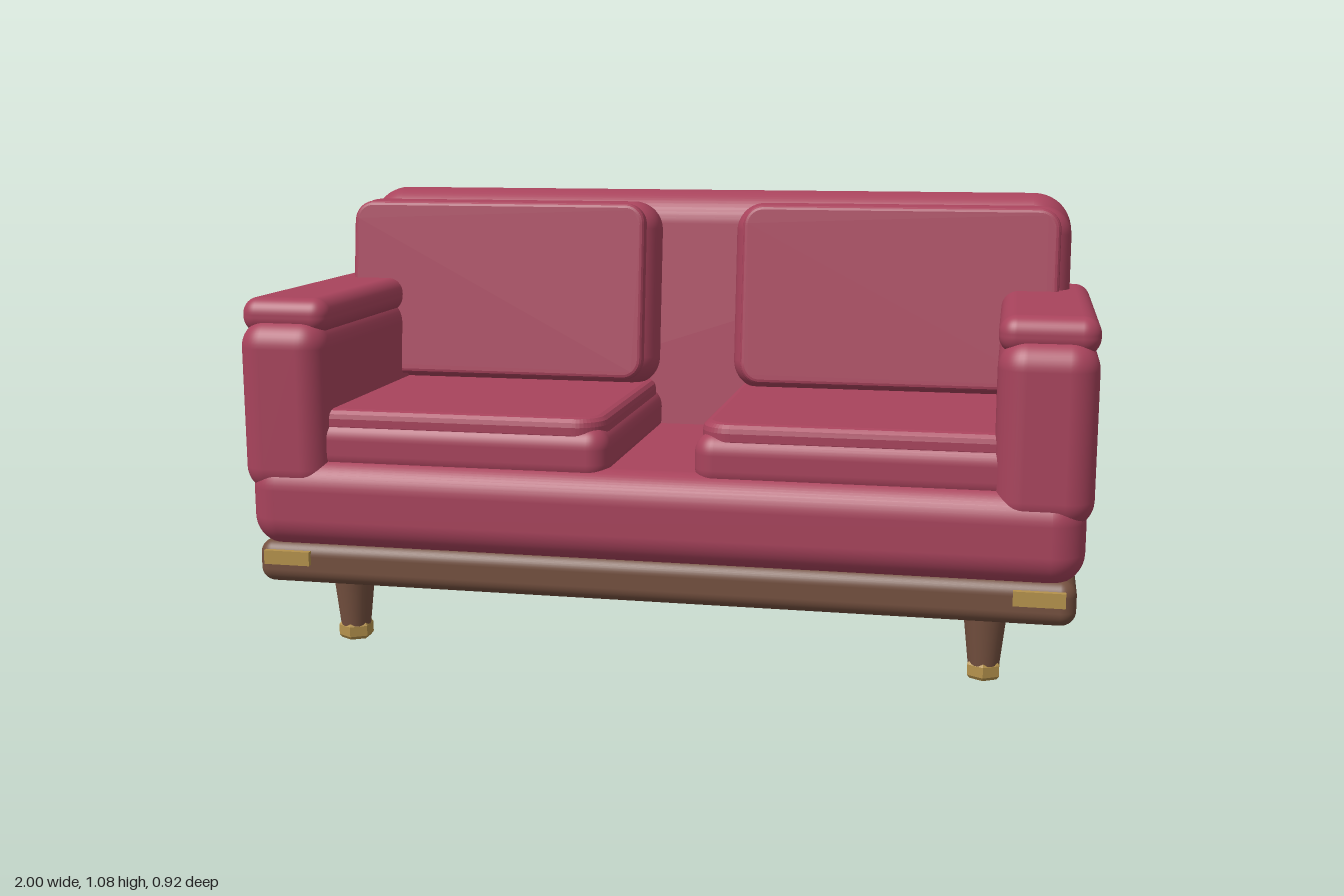
import * as THREE from 'three';
import { RoundedBoxGeometry } from 'three/addons/geometries/RoundedBoxGeometry.js';

const mat = (name, color) => {
  const m = new THREE.MeshStandardMaterial({ color });
  m.name = name;
  return m;
};

export function createModel() {
  const sofa = new THREE.Group();
  sofa.name = 'sofa';
  const fabric = mat('roseFabric', 0xa8435c);
  const wood = mat('walnutWood', 0x74503f);
  const brass = mat('brass', 0xb5924c);

  const add = (parent, name, geometry, material, x = 0, y = 0, z = 0) => {
    const mesh = new THREE.Mesh(geometry, material);
    mesh.name = name;
    mesh.position.set(x, y, z);
    parent.add(mesh);
    return mesh;
  };

  // Rounded box given by its extents along each axis
  const soft = (parent, name, material, [x0, x1], [y0, y1], [z0, z1], r) =>
    add(parent, name, new RoundedBoxGeometry(x1 - x0, y1 - y0, z1 - z0, 6, r), material,
      (x0 + x1) / 2, (y0 + y1) / 2, (z0 + z1) / 2);

  // Thin panel with rounded corners and a soft bevelled rim, rising along +z from 0
  const panel = (w, h, r, depth, bevel) => {
    const a = w / 2 - bevel, b = h / 2 - bevel;
    const s = new THREE.Shape();
    s.moveTo(-a + r, -b);
    s.lineTo(a - r, -b);
    s.absarc(a - r, -b + r, r, -Math.PI / 2, 0);
    s.lineTo(a, b - r);
    s.absarc(a - r, b - r, r, 0, Math.PI / 2);
    s.lineTo(-a + r, b);
    s.absarc(-a + r, b - r, r, Math.PI / 2, Math.PI);
    s.lineTo(-a, -b + r);
    s.absarc(-a + r, -b + r, r, Math.PI, Math.PI * 1.5);
    const g = new THREE.ExtrudeGeometry(s, {
      depth: depth - bevel, bevelEnabled: true, bevelThickness: bevel,
      bevelSize: bevel, bevelSegments: 3, curveSegments: 6,
    });
    return g;
  };

  // Frame and upholstered base
  soft(sofa, 'woodFrame', wood, [-0.97, 0.97], [0.16, 0.265], [-0.39, 0.44], 0.035);
  soft(sofa, 'seatBase', fabric, [-0.985, 0.985], [0.25, 0.47], [-0.41, 0.46], 0.075);

  // Reclined backrest, pivoting about the centre of its rounded top
  const back = new THREE.Group();
  back.name = 'backrest';
  back.position.set(0, 0.98, -0.355);
  back.rotation.x = -0.13;
  sofa.add(back);
  soft(back, 'backrestPad', fabric, [-0.948, 0.948], [-0.66, 0.1], [-0.1, 0.1], 0.097);

  for (const side of [1, -1]) {
    const label = side > 0 ? 'left' : 'right';
    const range = (a, b) => (side > 0 ? [a, b] : [-b, -a]);

    // Arm and its flat rest
    soft(sofa, label + 'Arm', fabric, range(0.78, 1), [0.38, 0.8], [-0.375, 0.455], 0.065);
    soft(sofa, label + 'ArmRest', fabric, range(0.78, 1), [0.765, 0.852], [-0.34, 0.42], 0.04);

    // Seat cushion with raised top panel
    soft(sofa, label + 'SeatCushion', fabric, range(0.1, 0.94), [0.43, 0.565], [-0.25, 0.42], 0.05);
    const top = add(sofa, label + 'SeatPanel', panel(0.82, 0.655, 0.05, 0.04, 0.022), fabric,
      side * 0.523, 0.548, 0.082);
    top.rotation.x = -Math.PI / 2;

    // Back cushion with raised front panel
    const cushion = new THREE.Group();
    cushion.name = label + 'BackCushion';
    cushion.position.set(side * 0.523, 0.975, -0.205);
    cushion.rotation.x = -0.12;
    sofa.add(cushion);
    soft(cushion, label + 'BackPad', fabric, [-0.422, 0.422], [-0.4, 0.08], [-0.078, 0.078], 0.073);
    add(cushion, label + 'BackPanel', panel(0.79, 0.455, 0.04, 0.03, 0.012), fabric, 0, -0.158, 0.062);

    // Brass corner plate
    add(sofa, label + 'CornerPlate', new THREE.BoxGeometry(0.115, 0.034, 0.014), brass,
      side * 0.888, 0.228, 0.445);

    // Tapered legs with hexagonal feet
    for (const [end, z] of [['Front', 0.32], ['Rear', -0.275]]) {
      add(sofa, label + end + 'Leg', new THREE.CylinderGeometry(0.053, 0.036, 0.155, 24), wood,
        side * 0.77, 0.1075, z);
      const profile = [[0, 0], [0.036, 0], [0.042, 0.008], [0.042, 0.033], [0.036, 0.042], [0, 0.042]]
        .map(([r, y]) => new THREE.Vector2(r, y));
      const foot = new THREE.LatheGeometry(profile, 6).toNonIndexed();
      foot.computeVertexNormals();
      add(sofa, label + end + 'Foot', foot, brass, side * 0.77, 0, z);
    }
  }
  return sofa;
}
